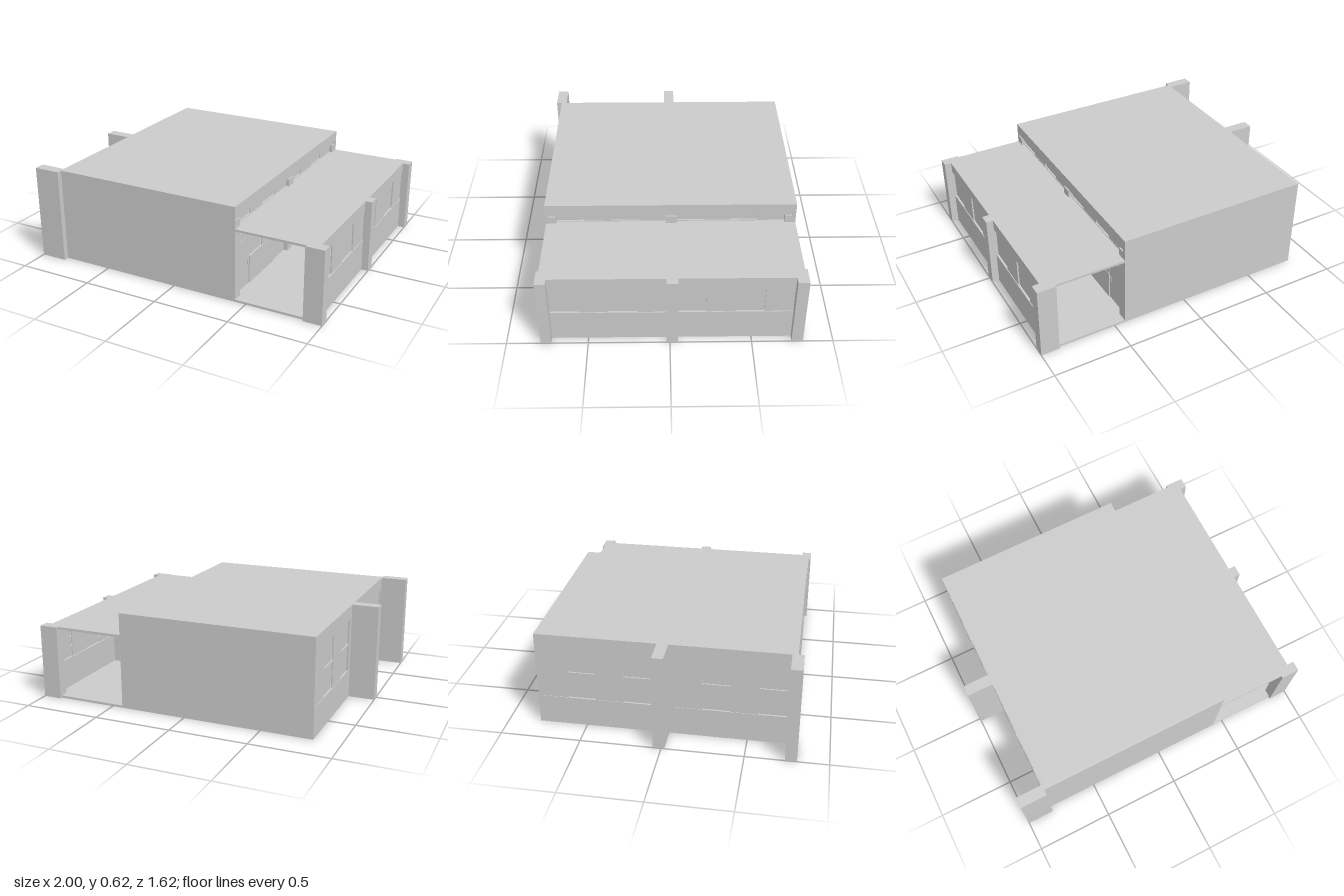
import * as THREE from 'three';

const material = new THREE.MeshStandardMaterial({ color: 0xcccccc, flatShading: true });

// Box given by its limits on each axis
function box(parent, name, [x0, x1], [y0, y1], [z0, z1]) {
  const mesh = new THREE.Mesh(new THREE.BoxGeometry(x1 - x0, y1 - y0, z1 - z0), material);
  mesh.position.set((x0 + x1) / 2, (y0 + y1) / 2, (z0 + z1) / 2);
  mesh.name = name;
  parent.add(mesh);
  return mesh;
}

// Row of sliding sashes, alternately on an outer and an inner track.
// face is the wall surface, dir (+1 / -1) the side it looks to.
function sashRow(parent, name, face, dir, [y0, y1], [z0, z1], count) {
  const step = (z1 - z0) / count;
  for (let i = 0; i < count; i++) {
    const outer = face - dir * (i % 2 ? 0.012 : 0.003);
    const inner = outer - dir * 0.008;
    const a = z0 + i * step;
    box(parent, name, [Math.min(outer, inner), Math.max(outer, inner)], [y0, y1], [a, a + step]);
  }
}

// The two bays between the pillars
const bays = [[-0.745, -0.045], [0.02, 0.725]];

export function createModel() {
  const model = new THREE.Group();
  const H = 0.62, LOW = 0.48;

  // Classroom block: end walls, roof, floor
  const room = new THREE.Group();
  room.name = 'classroom';
  model.add(room);
  box(room, 'frontWall', [-0.83, 0.43], [0, H], [0.755, 0.775]);
  box(room, 'backWall', [-0.83, 0.43], [0, H], [-0.8, -0.78]);
  box(room, 'roof', [-0.83, 0.43], [0.55, H], [-0.78, 0.755]);
  box(room, 'floor', [-0.83, 0.43], [0, 0.015], [-0.78, 0.755]);

  // Outer window wall of the classroom with two rows of sashes
  const west = new THREE.Group();
  west.name = 'classroomWindowWall';
  room.add(west);
  const wx = [-0.83, -0.8];
  box(west, 'parapet', wx, [0.015, 0.19], [-0.78, 0.755]);
  box(west, 'lintel', wx, [0.53, 0.55], [-0.78, 0.755]);
  box(west, 'middlePost', wx, [0.19, 0.53], [-0.09, 0.05]);
  box(west, 'endPost', wx, [0.19, 0.53], [0.73, 0.755]);
  for (const z of [[-0.78, -0.09], [0.05, 0.73]]) {
    sashRow(west, 'lowerSash', -0.83, -1, [0.19, 0.36], z, 4);
    sashRow(west, 'upperSash', -0.83, -1, [0.37, 0.53], z, 4);
    box(west, 'windowRail', [-0.827, -0.8], [0.36, 0.37], z);
  }

  // Buttress pillars beside the classroom windows
  for (const z of [[-0.05, 0.02], [0.74, 0.81]]) {
    box(model, 'classroomPillar', [-1, -0.825], [0, H], z);
  }

  // Wall between classroom and corridor: posts, doors, windows, clerestory
  const inner = new THREE.Group();
  inner.name = 'corridorInnerWall';
  room.add(inner);
  for (const z of [[-0.785, -0.73], [-0.05, 0.02], [0.71, 0.76]]) {
    box(inner, 'innerPost', [0.37, 0.43], [0.015, 0.53], z);
  }
  box(inner, 'clerestoryHead', [0.37, 0.42], [0.53, 0.55], [-0.78, 0.755]);
  const ix = [0.375, 0.41];
  for (const [z0, z1] of [[-0.73, -0.05], [0.02, 0.71]]) {
    const d = 0.17;
    box(inner, 'sillWall', ix, [0.015, 0.2], [z0 + d, z1 - d]);
    box(inner, 'lintel', ix, [0.37, 0.4], [z0, z1]);
    box(inner, 'clerestorySill', ix, [0.465, 0.485], [z0, z1]);
    sashRow(inner, 'innerSash', 0.41, 1, [0.2, 0.37], [z0 + d, z1 - d], 2);
    sashRow(inner, 'transomSash', 0.41, 1, [0.4, 0.465], [z0, z1], 4);
    sashRow(inner, 'clerestorySash', 0.41, 1, [0.485, 0.53], [z0, z1], 4);
    for (const [a, s] of [[z0, 1], [z1 - d, -1]]) {
      box(inner, 'slidingDoor', [0.39, 0.403], [0.015, 0.37], [a, a + d]);
      box(inner, 'doorWindow', [0.4, 0.406], [0.2, 0.34], [a + 0.03, a + d - 0.03]);
      const h = a + d / 2 + s * 0.07;
      box(inner, 'doorHandle', [0.4, 0.408], [0.15, 0.185], [h - 0.006, h + 0.006]);
    }
  }

  // Corridor, open at both ends
  const corridor = new THREE.Group();
  corridor.name = 'corridor';
  model.add(corridor);
  box(corridor, 'corridorRoof', [0.4, 0.955], [0.465, LOW], [-0.8, 0.775]);
  box(corridor, 'corridorFloor', [0.43, 0.955], [0, 0.015], [-0.8, 0.775]);
  for (const z of [[-0.815, -0.745], [-0.05, 0.02], [0.725, 0.79]]) {
    box(corridor, 'corridorPillar', [0.88, 1], [0, LOW], z);
  }
  for (const z of bays) {
    box(corridor, 'corridorParapet', [0.925, 0.955], [0.015, 0.21], z);
    box(corridor, 'corridorLintel', [0.925, 0.955], [0.41, 0.465], z);
    sashRow(corridor, 'corridorSash', 0.953, 1, [0.21, 0.41], z, 4);
  }
  return model;
}
